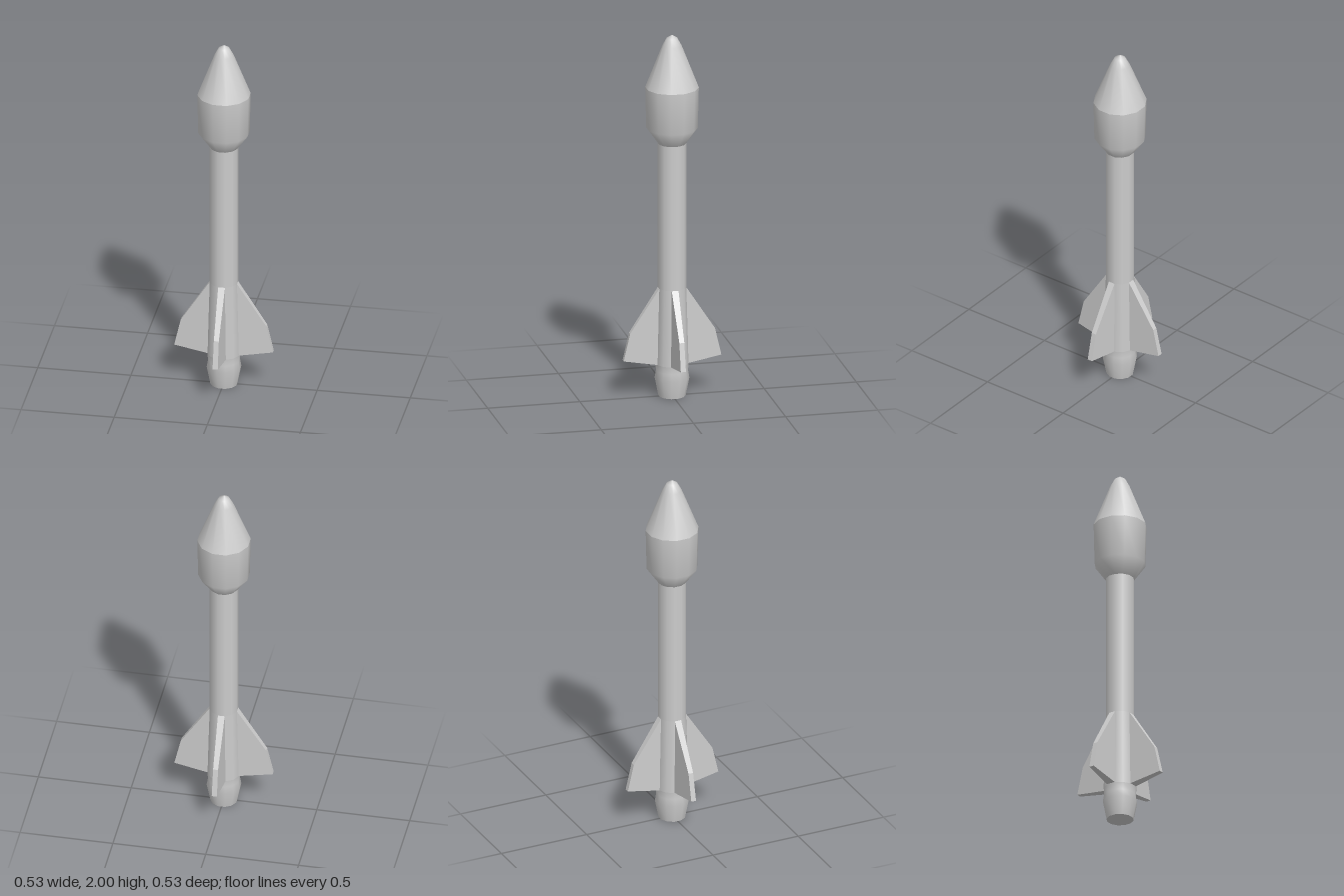
import * as THREE from 'three';

const SIDES = 12;
const CORNER = 1 / Math.cos(Math.PI / SIDES); // flat-to-corner radius ratio

// Twelve-sided turned section with flats facing the four main axes
function turned(name, profile, material) {
  const points = profile.map(([r, y]) => new THREE.Vector2(r * CORNER, y));
  const geometry = new THREE.LatheGeometry(points, SIDES, Math.PI / SIDES);
  const mesh = new THREE.Mesh(geometry, material);
  mesh.name = name;
  return mesh;
}

// Swept fin, thinning towards its tip and its top
function finGeometry() {
  const outline = [[0.04, 0.18], [0.08, 0.18], [0.265, 0.21], [0.23, 0.36], [0.073, 0.6], [0.04, 0.6]];
  const shape = new THREE.Shape(outline.map(([x, y]) => new THREE.Vector2(x, y)));
  const geometry = new THREE.ExtrudeGeometry(shape, { depth: 1, bevelEnabled: false });
  const p = geometry.attributes.position;
  for (let i = 0; i < p.count; i++) {
    const half = 0.0325 - 0.057 * p.getX(i) - 0.0167 * p.getY(i);
    p.setZ(i, p.getZ(i) > 0.5 ? half : -half);
  }
  geometry.computeVertexNormals();
  return geometry;
}

export function createModel() {
  const model = new THREE.Group();
  model.name = 'rocket';
  const grey = new THREE.MeshStandardMaterial({ color: 0xcccccc });
  grey.name = 'light grey';

  // Engine end, shaft, warhead and nose, from the ground up
  model.add(
    turned('base', [[0, 0], [0.07, 0]], grey),
    turned('nozzle', [[0.07, 0], [0.089, 0.1], [0.082, 0.14], [0.085, 0.18]], grey),
    turned('flaredTail', [[0.085, 0.18], [0.073, 0.6]], grey),
    turned('shaft', [[0.073, 0.6], [0.073, 1.4]], grey),
    turned('warhead', [[0.073, 1.4], [0.132, 1.485], [0.137, 1.71]], grey),
    turned('nose', [[0.137, 1.71], [0.05, 1.94], [0.028, 1.982], [0, 2]], grey)
  );

  // Four tail fins
  const geometry = finGeometry();
  for (let i = 0; i < 4; i++) {
    const fin = new THREE.Mesh(geometry, grey);
    fin.name = `fin${i + 1}`;
    fin.rotation.y = (i * Math.PI) / 2;
    model.add(fin);
  }
  return model;
}
